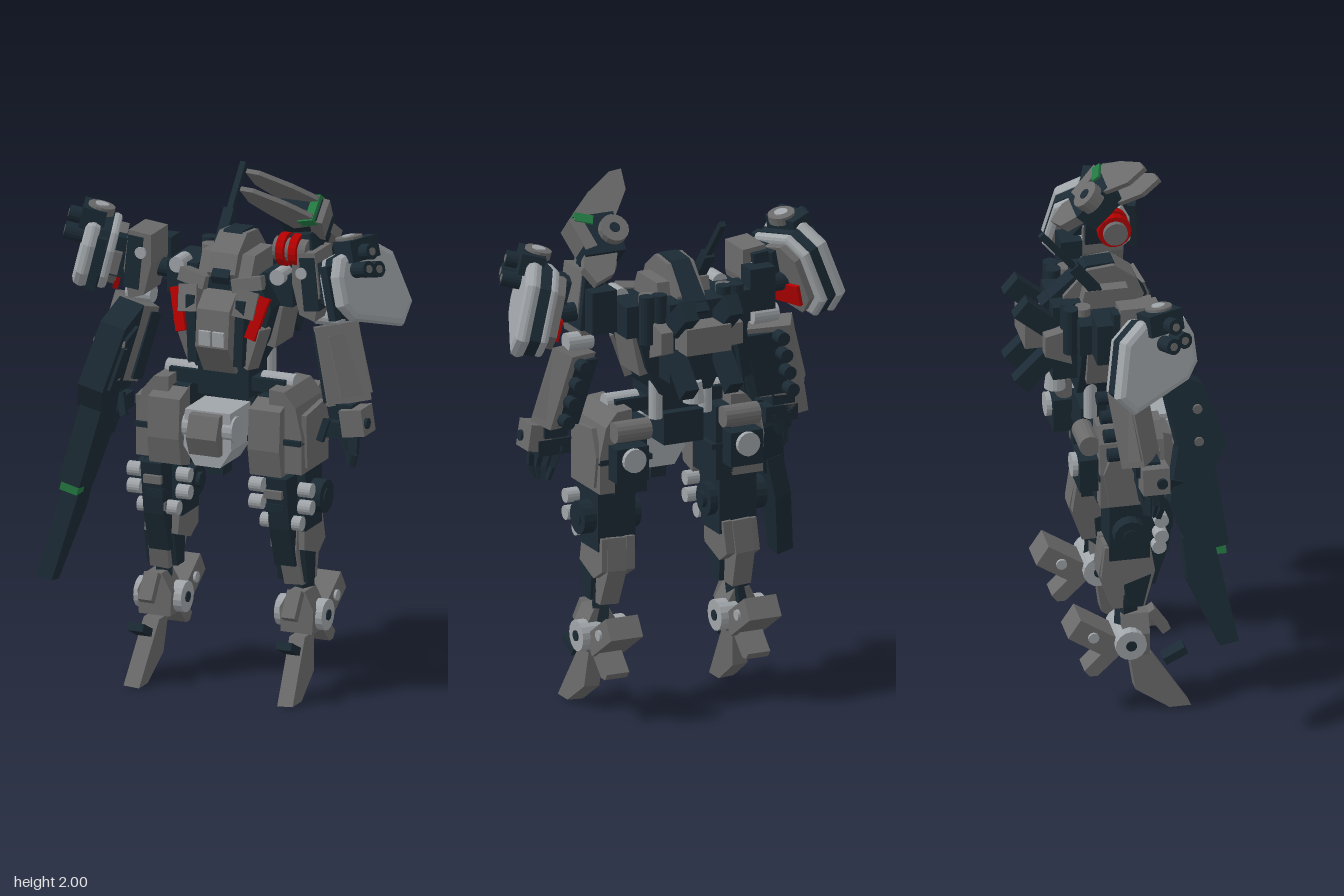
import * as THREE from 'three';

const GREY = 0x6a6a6b, LIGHT = 0xa0a5a9, DARK = 0x1b2a34, RED = 0xb40000, GREEN = 0x237841;
const mats = {};
const mat = c => mats[c] ??= new THREE.MeshStandardMaterial({ color: c, flatShading: true });
let S = 1;        // side being built: 1 = left, -1 = right
let parent;       // group that receives new parts

function put(name, geo, color, [x, y, z], [rx, ry, rz] = [0, 0, 0]) {
  const m = new THREE.Mesh(geo, mat(color));
  m.name = name;
  m.position.set(x * S, y, z);
  m.rotation.set(rx, ry * S, rz * S);
  parent.add(m);
  return m;
}
const box = (name, color, size, pos, rot) => put(name, new THREE.BoxGeometry(...size), color, pos, rot);
// cylinder along the x, y or z axis
function cyl(name, color, r, len, axis, pos, r2 = r) {
  const g = new THREE.CylinderGeometry(r, r2, len, 16);
  if (axis === 'x') g.rotateZ(Math.PI / 2);
  if (axis === 'z') g.rotateX(Math.PI / 2);
  return put(name, g, color, pos);
}
// box stretched between two points
function beam(name, color, a, b, w, d) {
  const A = new THREE.Vector3(a[0] * S, a[1], a[2]), B = new THREE.Vector3(b[0] * S, b[1], b[2]);
  const m = put(name, new THREE.BoxGeometry(w, A.distanceTo(B), d), color, [0, 0, 0]);
  m.position.copy(A).add(B).multiplyScalar(0.5);
  m.quaternion.setFromUnitVectors(new THREE.Vector3(0, 1, 0), B.sub(A).normalize());
  return m;
}
// extruded outline: axis 'x' takes (z, y) points, axis 'z' takes (x, y) points
function prof(name, color, axis, pts, at, width, rot, bevel = 0) {
  const s = axis === 'z' ? S : 1;
  const shape = new THREE.Shape(pts.map(p => new THREE.Vector2(p[0] * s, p[1])));
  const g = new THREE.ExtrudeGeometry(shape, {
    depth: width - 2 * bevel, bevelEnabled: bevel > 0, bevelSize: bevel, bevelThickness: bevel, bevelOffset: -bevel, bevelSegments: 2
  });
  g.computeBoundingBox();
  const c = g.boundingBox.getCenter(new THREE.Vector3());
  g.center();
  if (axis === 'x') g.rotateY(-Math.PI / 2);
  return put(name, g, color, axis === 'x' ? [at, c.y, c.x] : [c.x * s, c.y, at], rot);
}
function group(name, root, pos = [0, 0, 0], rot = [0, 0, 0]) {
  const g = new THREE.Group();
  g.name = name;
  g.position.set(pos[0] * S, pos[1], pos[2]);
  g.rotation.set(rot[0], rot[1] * S, rot[2] * S);
  root.add(g);
  parent = g;
  return g;
}

function leg(root) {
  group(S > 0 ? 'leftLeg' : 'rightLeg', root);
  // foot and ankle
  prof('toe', GREY, 'x', [[.245, .005], [.165, .005], [.04, .09], [.02, .23], [.1, .23]], .298, .062, [0, 0, .07]);
  prof('heelSpur', GREY, 'x', [[0, .26], [-.07, .27], [-.15, .19], [-.13, .165], [-.1, .165]], .285, .09);
  beam('heelBar', GREY, [.28, .27, -.03], [.28, .375, -.19], .13, .085);
  cyl('heelPin', LIGHT, .02, .15, 'x', [.28, .335, -.12]);
  cyl('ankleDisc', LIGHT, .058, .19, 'x', [.28, .3, .015]);
  cyl('ankleHub', DARK, .02, .2, 'x', [.28, .3, .015]);
  prof('ankleCover', GREY, 'z', [[.22, .24], [.345, .24], [.35, .33], [.315, .4], [.255, .4], [.215, .33]], .04, .1);
  beam('toeFlap', DARK, [.295, .23, .23], [.295, .19, .15], .06, .03);
  beam('shinFlap', GREY, [.285, .31, .16], [.285, .4, .1], .055, .035);
  beam('ankleStrut', DARK, [.27, .47, .02], [.285, .3, .01], .06, .06);
  // shin
  prof('shin', GREY, 'x', [[.1, .68], [-.07, .68], [-.09, .56], [-.04, .42], [.08, .42], [.12, .56]], .26, .075, [0, 0, .06]);
  for (const x of [.2, .3]) {
    prof('shinPlate', GREY, 'x', [[.09, .68], [-.07, .68], [-.085, .56], [-.02, .52], [.1, .56]], x, .035, [0, 0, .06]);
    prof('shinUnderplate', DARK, 'x', [[.1, .56], [0, .54], [.01, .43], [.07, .43]], x + .01, .02);
  }
  prof('kneeGuard', DARK, 'x', [[.2, .85], [.09, .85], [.07, .5], [.12, .5], [.17, .65]], .25, .08);
  // knee
  box('kneeBlock', DARK, [.15, .24, .15], [.245, .75, .02]);
  cyl('kneeJoint', DARK, .062, .23, 'x', [.255, .75, .015]);
  cyl('kneeCap', DARK, .03, .25, 'x', [.25, .75, .015]);
  for (const y of [.8, .735, .67])
    for (const x of y > .7 ? [.145, .34] : [.19, .3]) cyl('kneePiston', LIGHT, .027, .05, 'x', [x, y, .13]);
  for (let i = 0; i < 3; i++) box('kneeRib', i % 2 ? DARK : GREY, [.07, .03, .02], [.24, .68 + i * .055, .2 - .02 * (2 - i)]);
  // thigh
  prof('thighOuter', GREY, 'z', [[.2, 1.17], [.26, 1.165], [.305, 1.11], [.33, 1], [.33, .86], [.2, .86]], .03, .24);
  prof('thighFront', GREY, 'x', [[.19, 1.1], [.1, 1.13], [.1, .83], [.18, .85], [.2, .95]], .2, .125);
  box('thighCore', DARK, [.13, .28, .2], [.205, .99, .01]);
  prof('thighSide', GREY, 'x', [[.13, 1.08], [-.04, 1.1], [-.08, 1], [-.06, .88], [.12, .88]], .33, .02);
  box('thighTrim', DARK, [.21, .02, .26], [.225, .98, .035]);
  box('thighBack', DARK, [.13, .13, .08], [.23, .98, -.12]);
  cyl('thighBackDisc', LIGHT, .045, .1, 'z', [.23, 1.0, -.13]);
  cyl('hipRoller', GREY, .04, .14, 'x', [.22, 1.1, -.12]);
  cyl('hipAxle', LIGHT, .032, .13, 'x', [.19, 1.17, .03]);
}

function arm(root) {
  const g = group(S > 0 ? 'leftArm' : 'rightArm', root);
  cyl('shoulderAxle', DARK, .035, .34, 'x', [.33, 1.54, .01]);
  prof('upperArm', GREY, 'z', [[.28, 1.69], [.37, 1.7], [.39, 1.55], [.37, 1.44], [.31, 1.46], [.28, 1.58]], .05, .15);
  box('upperArmInset', DARK, [.06, .2, .18], [.35, 1.58, .04], [0, 0, .1]);
  cyl('upperArmBolt', LIGHT, .022, .17, 'z', [.32, 1.62, .05]);
  box('upperArmBack', DARK, [.1, .16, .08], [.32, 1.56, -.07]);
  cyl('elbow', LIGHT, .035, .1, 'x', [.375, 1.43, 0]);
  beam('forearm', GREY, [.395, 1.4, -.01], [.465, 1.12, .03], .09, .16);
  beam('forearmInner', DARK, [.365, 1.37, -.02], [.425, 1.12, .02], .05, .12);
  beam('forearmPlate', GREY, [.425, 1.37, 0], [.49, 1.15, .03], .06, .12);
  for (let i = 0; i < 4; i++) cyl('forearmStud', DARK, .025, .05, 'z', [.4 + i * .018, 1.36 - i * .07, -.095 + i * .01]);
  // hand
  box('wrist', DARK, [.09, .06, .09], [.46, 1.1, .05]);
  box('handBlock', GREY, [.09, .1, .1], [.515, 1.07, .07], [0, 0, .15]);
  cyl('handPin', DARK, .02, .11, 'x', [.515, 1.07, .09]);
  box('palm', DARK, [.13, .06, .08], [.46, 1.03, .06]);
  for (let i = 0; i < 4; i++) {
    beam('finger', DARK, [.43 + i * .03, 1.03, .03 + i * .02], [.46 + i * .02, .95, .04 + i * .02], .022, .022);
    beam('fingertip', DARK, [.46 + i * .02, .95, .04 + i * .02], [.475 + i * .01, .9, .05 + i * .012], .018, .018);
  }
  beam('thumb', DARK, [.41, 1.07, .1], [.39, .99, .12], .025, .025);
  // shoulder pod, splayed outward at the back
  group('shoulderPod', g, [.53, 1.58, .03], [0, -.36, .24]);
  const shell = [[.19, .06], [.16, .13], [-.02, .16], [-.11, .1], [-.165, -.1], [-.1, -.18], [.14, -.11], [.19, -.05]];
  prof('podOuterShell', LIGHT, 'x', shell, .04, .06, [0, 0, 0], .025);
  prof('podInnerShell', LIGHT, 'x', shell.map(p => [p[0] * .92, p[1] * .92]), -.035, .04, [0, 0, 0], .015);
  prof('podCore', DARK, 'x', shell.map(p => [p[0] * .93, p[1] * .93]), 0, .05);
  prof('podBase', GREY, 'x', shell.map(p => [p[0] * .7, p[1] * .75]), -.065, .04);
  box('podInnerBlock', DARK, [.06, .15, .12], [-.08, .03, .07]);
  prof('podLiner', RED, 'x', [[.12, -.03], [-.08, -.02], [-.08, -.1], [.1, -.1]], -.09, .02);
  box('podCap', DARK, [.09, .08, .14], [.05, .14, .06]);
  box('podRail', DARK, [.035, .2, .03], [0, 0, .18]);
  cyl('podVent', GREY, .05, .03, 'y', [.03, .175, .07]);
  cyl('podVentHub', LIGHT, .025, .02, 'y', [.03, .185, .07]);
  for (const [y, z] of [[.05, .05], [.06, .1], [.12, .07]]) {
    cyl('launcherTube', DARK, .03, .08, 'x', [.1, y + .01, z]);
    cyl('launcherMuzzle', GREY, .015, .084, 'x', [.1, y + .01, z]);
  }
}

function torso(root) {
  S = 1;
  group('torso', root);
  box('waist', DARK, [.2, .14, .18], [0, 1.18, .02]);
  box('pelvis', DARK, [.46, .05, .1], [0, 1.16, .03]);
  prof('groin', LIGHT, 'z', [[-.09, 1.09], [.09, 1.09], [.095, .95], [.05, .88], [-.05, .88], [-.095, .95]], .16, .18);
  prof('groinNose', GREY, 'x', [[.31, 1], [.28, 1.08], [.2, 1.09], [.2, .93], [.28, .93]], 0, .12);
  cyl('groinDisc', LIGHT, .05, .2, 'x', [0, 1.02, .21]);
  box('groinTab', DARK, [.06, .08, .08], [0, .87, .14]);
  box('tailBlock', DARK, [.16, .12, .12], [0, 1.08, -.05]);
  prof('chest', DARK, 'z', [[-.1, 1.22], [.1, 1.22], [.16, 1.33], [.2, 1.47], [.15, 1.56], [-.15, 1.56], [-.2, 1.47], [-.16, 1.33]], 0, .26);
  prof('cockpit', GREY, 'x', [[.13, 1.52], [.2, 1.46], [.215, 1.32], [.14, 1.21], [.04, 1.24], [.04, 1.52]], 0, .13);
  for (S of [1, -1]) {
    box('cockpitWindow', LIGHT, [.045, .055, .012], [.027, 1.355, .213], [.07, 0, 0]);
    box('chestPlate', GREY, [.08, .1, .05], [.11, 1.48, .15], [-.3, .2, -.1]);
    beam('chestStripe', RED, [.178, 1.51, .13], [.135, 1.36, .175], .026, .04);
    beam('chestBar', DARK, [.1, 1.5, .16], [.09, 1.25, .16], .035, .05);
    beam('lowerRib', GREY, [.16, 1.4, .13], [.105, 1.24, .12], .05, .06);
    beam('collar', GREY, [.05, 1.54, .13], [.16, 1.56, .11], .05, .06);
    box('shoulderMount', DARK, [.12, .12, .2], [.19, 1.52, -.05]);
    cyl('shoulderRoller', LIGHT, .03, .08, 'z', [.2, 1.575, .04]);
    for (const x of [.13, .18]) cyl('shoulderDrum', DARK, .028, .18, 'y', [x, 1.53, -.17]);
    cyl('drumCap', GREY, .03, .16, 'y', [.155, 1.53, -.12]);
    box('sidePlate', GREY, [.04, .16, .16], [.175, 1.38, -.03], [0, 0, -.2]);
    cyl('hipPiston', LIGHT, .025, .16, 'y', [.1, 1.2, -.08]);
    // backpack thrusters
    beam('upperThruster', DARK, [.09, 1.6, -.34], [.09, 1.5, -.22], .055, .08);
    beam('lowerThruster', DARK, [.09, 1.28, -.34], [.09, 1.4, -.22], .055, .07);
    prof('packWing', GREY, 'x', [[-.18, 1.52], [-.26, 1.5], [-.26, 1.42], [-.16, 1.38]], .14, .05);
  }
  S = 1;
  box('backpack', DARK, [.22, .3, .12], [0, 1.44, -.16]);
  box('backpackBeam', GREY, [.18, .1, .12], [0, 1.47, -.26]);
  cyl('backNozzle', LIGHT, .03, .08, 'y', [0, 1.24, -.19], .04);
  // head
  group('head', root);
  prof('helmet', GREY, 'x', [[.13, 1.58], [.1, 1.65], [.02, 1.71], [-.08, 1.7], [-.17, 1.6], [-.17, 1.54], [.11, 1.54]], 0, .11);
  prof('crest', DARK, 'x', [[.02, 1.715], [-.08, 1.71], [-.25, 1.56], [-.2, 1.53], [.06, 1.65]], 0, .075);
  prof('visor', DARK, 'x', [[.145, 1.57], [.12, 1.6], [0, 1.6], [0, 1.54], [.13, 1.54]], 0, .07);
  for (S of [1, -1]) prof('cheek', GREY, 'x', [[.1, 1.56], [.06, 1.64], [-.1, 1.64], [-.12, 1.55]], .08, .05);
  S = 1;
  beam('antenna', DARK, [-.083, 1.6, -.03], [-.083, 1.74, -.14], .04, .04);
  beam('antennaTip', DARK, [-.083, 1.73, -.13], [-.083, 1.885, -.26], .022, .022);
}

// long gun in the right hand
function gun(root) {
  S = 1;
  group('gun', root);
  const tilt = [0, 0, -.24];
  prof('barrel', DARK, 'x', [[.36, .41], [.29, .4], [.18, .66], [.17, .82], [.29, .78]], -.555, .065, tilt);
  box('sight', GREEN, [.07, .04, .06], [-.515, .76, .3], tilt);
  prof('receiver', DARK, 'x', [[.34, .77], [.2, .75], [.13, .95], [.17, 1.15], [.3, 1.1]], -.47, .085, tilt);
  prof('stock', DARK, 'x', [[.35, 1.15], [.27, 1.38], [.13, 1.44], [.13, 1.36], [.19, 1.05], [.3, 1.05]], -.4, .1, tilt);
  prof('stockPlate', DARK, 'x', [[.31, 1.15], [.25, 1.34], [.17, 1.37], [.21, 1.1]], -.4, .12, tilt);
  for (const y of [1.18, 1.3]) cyl('stockHole', GREY, .018, .125, 'x', [-.4 - (1.25 - y) * .24, y, .245]);
  beam('grip', DARK, [-.47, 1.0, .2], [-.49, 1.05, .07], .04, .05);
  beam('magazine', DARK, [-.41, 1.2, .22], [-.475, .9, .26], .11, .05);
}

// bladed unit raised on the left shoulder
function bladeUnit(root) {
  S = 1;
  group('bladeUnit', root, [.28, 1.82, .06], [.78, 0, 0]);
  const blade = [[-.16, .205], [-.11, .2], [0, .13], [.08, .06], [.07, 0], [-.02, -.04], [-.09, .04], [-.15, .12]];
  for (const z of [-.045, .03]) prof('blade', GREY, 'z', blade, z, .018);
  box('unitBody', DARK, [.16, .16, .09], [.01, -.04, -.01]);
  box('unitSide', GREY, [.05, .13, .1], [.075, -.03, -.01], [0, 0, -.2]);
  box('greenBand', GREEN, [.07, .035, .11], [.055, .025, -.01], [0, 0, .35]);
  cyl('unitDisc', GREY, .055, .05, 'z', [-.04, -.04, -.06]);
  cyl('unitDiscHub', DARK, .02, .056, 'z', [-.04, -.04, -.06]);
  prof('rearBlade', GREY, 'z', [[-.06, -.08], [.07, -.06], [.11, -.16], [.08, -.23], [0, -.2]], -.02, .04);
  beam('rearStrut', DARK, [.03, -.06, .03], [.05, -.2, .04], .05, .04);
  group('bladeMount', root);
  for (const x of [.235, .285]) cyl('mountRing', RED, .062, .03, 'x', [x, 1.69, .08]);
  cyl('mountCore', GREY, .045, .13, 'x', [.265, 1.69, .08]);
  box('mountBlock', DARK, [.09, .12, .1], [.3, 1.69, .03], [0, 0, .2]);
}

export function createModel() {
  const root = new THREE.Group();
  root.name = 'mech';
  for (const side of [1, -1]) {
    S = side;
    leg(root);
    arm(root);
  }
  torso(root);
  gun(root);
  bladeUnit(root);
  return root;
}
